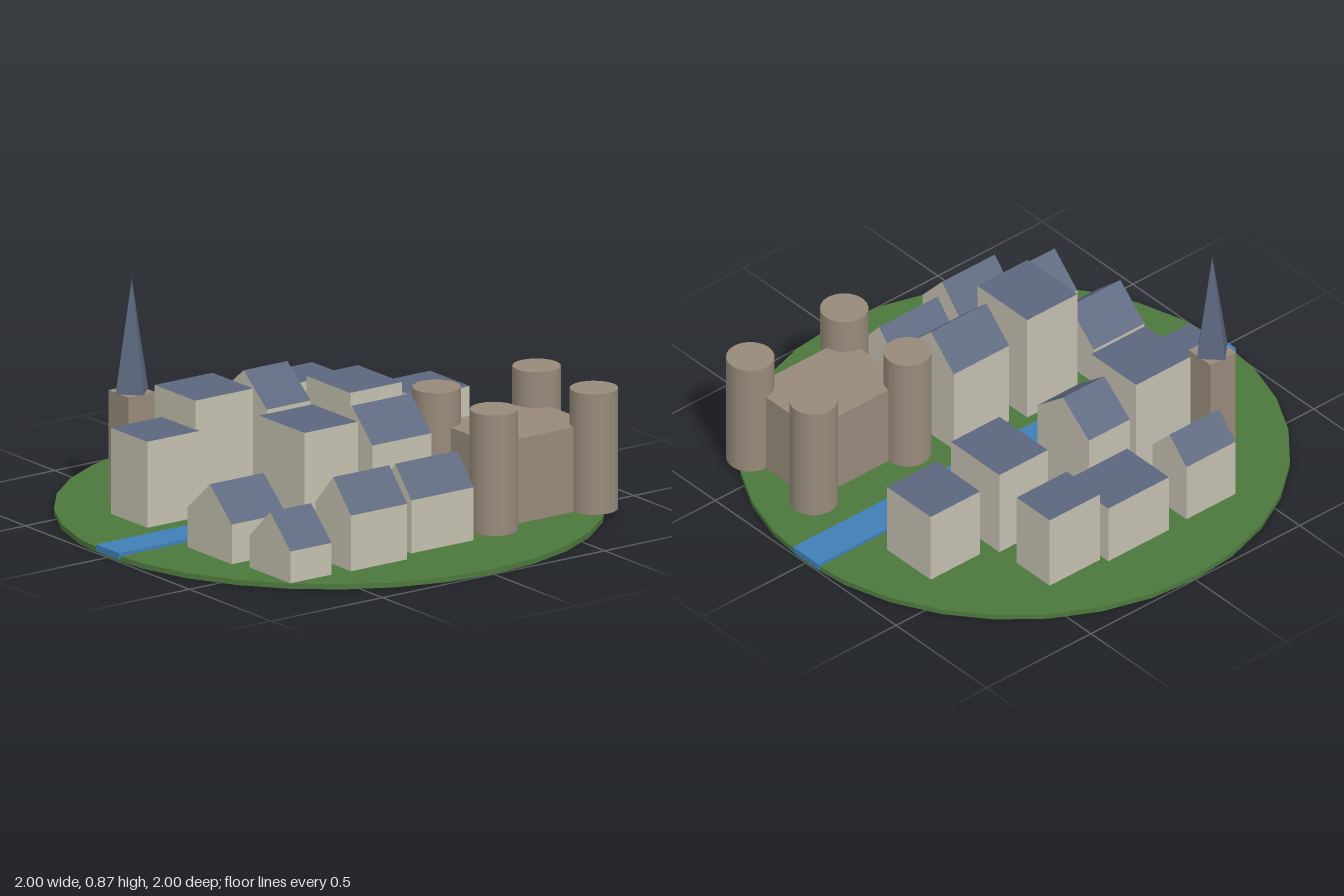
import * as THREE from 'three';

const mat = (name, color) => {
  const m = new THREE.MeshStandardMaterial({ color });
  m.name = name;
  return m;
};

export function createModel() {
  const grass = mat('grass', 0x4c783d);
  const water = mat('water', 0x3f7fb5);
  const wall = mat('wall', 0xc4bfaf);
  const slate = mat('slate', 0x5b667d);
  const stone = mat('stone', 0x978a7a);

  const town = new THREE.Group();
  town.name = 'town';
  const GROUND = 0.02;

  const add = (parent, name, geometry, material, x, y, z) => {
    const mesh = new THREE.Mesh(geometry, material);
    mesh.name = name;
    mesh.position.set(x, y, z);
    parent.add(mesh);
    return mesh;
  };

  // Round meadow and the river across it
  add(town, 'ground', new THREE.CylinderGeometry(1, 1, GROUND, 32), grass, 0, GROUND / 2, 0);
  add(town, 'river', new THREE.BoxGeometry(2, 0.025, 0.14), water, 0, 0.0205, 0);

  // House: end profile extruded along x; every upward face is slate
  function house(x0, x1, z0, z1, eave, ridge) {
    const h = (z1 - z0) / 2;
    const profile = new THREE.Shape();
    profile.moveTo(-h, GROUND);
    profile.lineTo(h, GROUND);
    profile.lineTo(h, eave);
    if (ridge > eave) profile.lineTo(0, ridge);
    profile.lineTo(-h, eave);
    profile.closePath();
    const g = new THREE.ExtrudeGeometry(profile, { depth: x1 - x0, bevelEnabled: false });
    g.translate(0, 0, -(x1 - x0) / 2);
    g.rotateY(Math.PI / 2);
    g.clearGroups();
    const normal = g.attributes.normal;
    for (let i = 0; i < normal.count; i += 3) g.addGroup(i, 3, normal.getY(i) > 0.1 ? 1 : 0);
    return add(town, 'house', g, [wall, slate], (x0 + x1) / 2, 0, (z0 + z1) / 2);
  }

  // x range, z range, eave height, ridge height (0 = flat roof)
  const houses = [
    [-0.70, -0.515, 0.46, 0.71, 0.14, 0.26],
    [-0.433, -0.18, 0.50, 0.717, 0.23, 0.35],
    [-0.123, 0.157, 0.467, 0.665, 0.22, 0.335],
    [-0.728, -0.485, 0.12, 0.39, 0.17, 0.29],
    [-0.405, -0.165, 0.12, 0.395, 0.46, 0],
    [-0.102, 0.163, 0.147, 0.40, 0.36, 0.48],
    [-0.70, -0.465, -0.385, -0.163, 0.345, 0],
    [-0.47, -0.21, -0.43, -0.182, 0.455, 0],
    [-0.14, 0.057, -0.477, -0.193, 0.36, 0.475],
    [0.213, 0.445, -0.43, -0.163, 0.368, 0],
    [0.505, 0.742, -0.393, -0.152, 0.303, 0],
    [-0.433, -0.197, -0.723, -0.537, 0.255, 0.35],
    [-0.107, 0.183, -0.73, -0.5, 0.258, 0],
    [0.20, 0.44, -0.703, -0.52, 0.315, 0],
  ];
  for (const h of houses) house(...h);

  // Castle: keep with four round corner towers
  const castle = new THREE.Group();
  castle.name = 'castle';
  castle.position.set(0.525, GROUND, 0.42);
  town.add(castle);
  add(castle, 'keep', new THREE.BoxGeometry(0.45, 0.32, 0.34), stone, 0, 0.16, 0);
  const tower = new THREE.CylinderGeometry(0.088, 0.088, 0.455, 20);
  for (const sx of [-1, 1])
    for (const sz of [-1, 1]) add(castle, 'castleTower', tower, stone, sx * 0.225, 0.2275, sz * 0.175);

  // Church tower with a four-sided spire set diagonally
  const church = new THREE.Group();
  church.name = 'church';
  church.position.set(-0.562, GROUND, -0.445);
  town.add(church);
  add(church, 'bellTower', new THREE.BoxGeometry(0.12, 0.425, 0.12), stone, 0, 0.2125, 0);
  const spire = new THREE.ConeGeometry(0.073, 0.425, 4).toNonIndexed();
  spire.computeVertexNormals();
  add(church, 'spire', spire, slate, 0, 0.6375, 0);

  return town;
}
